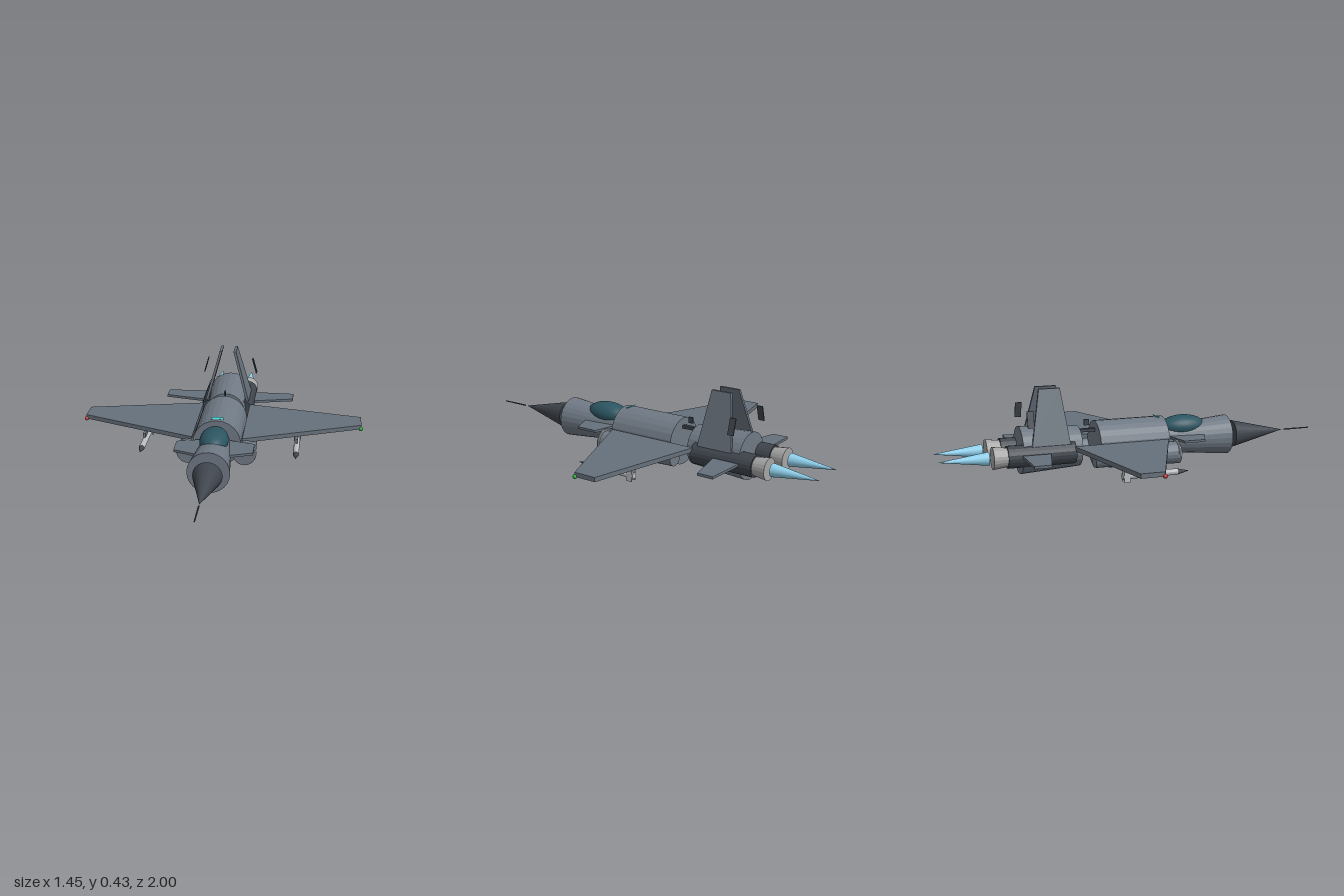
import * as THREE from 'three';

const mat = (color) => new THREE.MeshStandardMaterial({ color, flatShading: true });
const M = {
  body: mat(0x6f7984), wing: mat(0x66707b), dark: mat(0x3f454d), nozzle: mat(0xa5a5a5),
  flame: mat(0x8fd0ec), canopy: mat(0x2b5561), cyan: mat(0x3fd0d0), light: mat(0xb8bcc0),
  red: mat(0xd04040), green: mat(0x2fae3f),
};
for (const m of [M.canopy, M.flame]) m.flatShading = false;

export function createModel() {
  const model = new THREE.Group();
  model.name = 'jetFighter';

  const add = (name, geometry, material, x = 0, y = 0, z = 0) => {
    const mesh = new THREE.Mesh(geometry, material);
    mesh.name = name;
    mesh.position.set(x, y, z);
    model.add(mesh);
    return mesh;
  };
  const box = (name, w, h, d, material, x, y, z) =>
    add(name, new THREE.BoxGeometry(w, h, d), material, x, y, z);
  // Round section along z, from its front end to its back end
  const tube = (name, material, x, y, zFront, zBack, rFront, rBack, sides = 24) => {
    const g = new THREE.CylinderGeometry(rFront, rBack, zFront - zBack, sides).rotateX(Math.PI / 2);
    return add(name, g, material, x, y, (zFront + zBack) / 2);
  };
  const shapeOf = (points) => new THREE.Shape(points.map(([a, b]) => new THREE.Vector2(a, b)));
  // Flat plate outlined by [x, z] corners, centred on height y
  const plate = (name, material, points, side, y, thickness) => {
    const g = new THREE.ExtrudeGeometry(shapeOf(points.map(([x, z]) => [side * x, -z])),
      { depth: thickness, bevelEnabled: false });
    g.translate(0, 0, -thickness / 2).rotateX(-Math.PI / 2);
    return add(name, g, material, 0, y, 0);
  };
  // Upright plate outlined by [z, y] corners, leaning: x = x0 + lean * y
  const uprightPlate = (name, material, points, side, x0, lean, thickness) => {
    const g = new THREE.ExtrudeGeometry(shapeOf(points.map(([z, y]) => [-z, y])),
      { depth: thickness, bevelEnabled: false });
    g.translate(0, 0, -thickness / 2).rotateY(Math.PI / 2);
    g.applyMatrix4(new THREE.Matrix4().set(
      1, side * lean, 0, side * x0, 0, 1, 0, 0, 0, 0, 1, 0, 0, 0, 0, 1));
    return add(name, g, material);
  };

  // Fuselage, front to back
  const cy = 0.125;
  tube('pitotProbe', M.dark, 0, cy, 1, 0.855, 0.003, 0.004, 8);
  tube('noseCone', M.dark, 0, cy, 0.84, 0.545, 0, 0.07, 32);
  tube('frontFuselage', M.body, 0, cy, 0.51, 0.15, 0.102, 0.068);
  tube('middleFuselage', M.body, 0, cy, 0.155, -0.205, 0.12, 0.12);
  tube('rearFuselage', M.body, 0, cy, -0.292, -0.592, 0.1, 0.118);
  box('spine', 0.02, 0.016, 0.24, M.dark, 0, 0.2, -0.2);
  box('antenna', 0.008, 0.03, 0.025, M.dark, 0, 0.24, -0.247);
  box('bellyPanel', 0.03, 0.012, 0.22, M.dark, 0, 0.007, -0.025);

  // Cockpit
  const canopy = add('canopy', new THREE.SphereGeometry(1, 32, 20), M.canopy, 0, 0.188, 0.267);
  canopy.scale.set(0.07, 0.056, 0.12);
  const sight = box('headUpDisplay', 0.06, 0.004, 0.014, M.cyan, 0, 0.245, 0.122);
  sight.rotation.x = 0.4;

  for (const s of [1, -1]) {
    const side = s > 0 ? 'left' : 'right';
    const n = (part) => side + part;

    // Intake duct with its lip
    tube(n('IntakeDuct'), M.body, s * 0.14, 0.085, 0.19, -0.25, 0.056, 0.043, 20);
    add(n('IntakeLip'), new THREE.TorusGeometry(0.054, 0.006, 8, 24), M.light, s * 0.14, 0.09, 0.18);

    // Lifting surfaces
    plate(n('Wing'), M.wing, [[0.125, 0.145], [0.715, -0.1], [0.715, -0.215], [0.125, -0.343]], s, 0.14, 0.022);
    plate(n('Canard'), M.wing, [[0.06, 0.365], [0.192, 0.315], [0.192, 0.205], [0.06, 0.17]], s, 0.145, 0.012);
    plate(n('Tailplane'), M.wing, [[0.1, -0.455], [0.35, -0.515], [0.35, -0.598], [0.1, -0.605]], s, 0.121, 0.013);
    box(n('Flap'), 0.105, 0.006, 0.035, M.dark, s * 0.522, 0.123, -0.21);
    add(n('WingtipLight'), new THREE.SphereGeometry(0.011, 12, 8), s > 0 ? M.green : M.red, s * 0.713, 0.13, -0.1);

    // Inward-leaning fin and its separate rudder
    uprightPlate(n('Fin'), M.wing, [[-0.358, 0.15], [-0.392, 0.428], [-0.497, 0.428], [-0.552, 0.15]],
      s, 0.153, -0.27, 0.014);
    uprightPlate(n('Rudder'), M.dark, [[-0.545, 0.26], [-0.545, 0.338], [-0.577, 0.338], [-0.577, 0.26]],
      s, 0.217, -0.28, 0.006);

    // Engine, nozzle and exhaust flame
    tube(n('Engine'), M.dark, s * 0.087, 0.115, -0.335, -0.67, 0.055, 0.055, 20);
    tube(n('Nozzle'), M.nozzle, s * 0.087, 0.115, -0.67, -0.74, 0.046, 0.055, 20);
    tube(n('Flame'), M.flame, s * 0.087, 0.115, -0.757, -1, 0.033, 0, 24);

    // Missile hung below the wing
    const mx = s * 0.39, my = 0.055;
    box(n('Pylon'), 0.012, 0.022, 0.11, M.body, mx, 0.09, -0.05);
    tube(n('Missile'), M.light, mx, my, 0.085, -0.19, 0.015, 0.015, 14);
    tube(n('MissileTip'), M.dark, mx, my, 0.145, 0.085, 0, 0.015, 14);
    for (const f of [1, -1]) {
      box(n('MissileFin'), 0.004, 0.055, 0.03, M.light, mx + f * 0.015, my, -0.17);
    }
  }
  return model;
}
